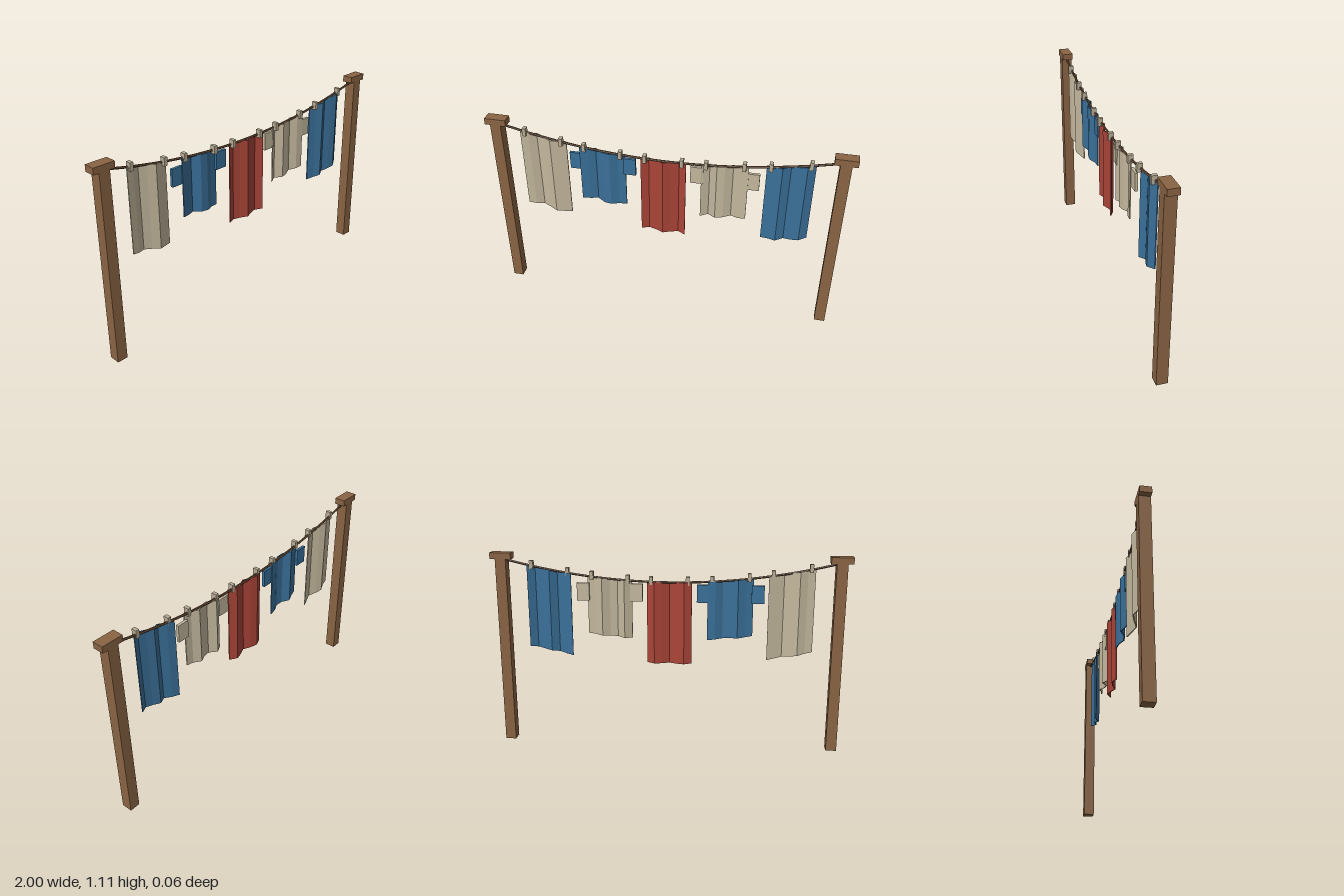
import * as THREE from 'three';

const material = (name, color) => {
  const m = new THREE.MeshStandardMaterial({ color, flatShading: true });
  m.name = name;
  return m;
};

// Height of the sagging rope at x
const ropeY = (x) => 0.955 + 0.136 * x * x;

export function createModel() {
  const model = new THREE.Group();
  model.name = 'clothesline';
  const wood = material('wood', 0x8a6444);
  const cord = material('cord', 0x6b4e35);
  const peg = material('peg', 0xb8ac94);
  const linen = material('linen', 0xc4b89e);
  const blue = material('blue cloth', 0x3a7099);
  const red = material('red cloth', 0xaa4438);

  const add = (name, geometry, mat, x = 0, y = 0, z = 0) => {
    const mesh = new THREE.Mesh(geometry, mat);
    mesh.name = name;
    mesh.position.set(x, y, z);
    model.add(mesh);
    return mesh;
  };
  const box = (name, w, h, d, mat, x, y, z = 0) =>
    add(name, new THREE.BoxGeometry(w, h, d), mat, x, y, z);

  // Posts with caps
  for (const [side, s] of [['left', 1], ['right', -1]]) {
    box(side + 'Post', 0.06, 1.075, 0.062, wood, s * 0.94, 0.5375);
    box(side + 'PostCap', 0.12, 0.036, 0.062, wood, s * 0.94, 1.092);
  }

  // Sagging rope
  const points = [];
  for (let i = 0; i <= 16; i++) {
    const x = -0.93 + (1.86 * i) / 16;
    points.push(new THREE.Vector3(x, ropeY(x), 0));
  }
  add('rope', new THREE.TubeGeometry(new THREE.CatmullRomCurve3(points), 32, 0.0065, 6), cord);

  // Pleated cloth hanging from the rope, folds = z at each crease
  const cloth = (name, cx, length, mat, folds) => {
    const width = 0.252, n = folds.length - 1;
    const g = new THREE.BoxGeometry(width, length, 0.006, n, 1, 1);
    const p = g.attributes.position;
    for (let i = 0; i < p.count; i++) {
      const x = p.getX(i);
      const crease = Math.round((x / width + 0.5) * n);
      p.setY(i, p.getY(i) - length / 2 + ropeY(cx + x));
      p.setZ(i, p.getZ(i) + folds[crease]);
    }
    g.computeVertexNormals();
    add(name, g, mat, cx);
  };

  const laundry = [
    ['linenTowel', -0.68, 0.47, linen, [0.012, 0.004, -0.016, -0.002, 0.018, 0.002, -0.014], false],
    ['blueShirt', -0.346, 0.328, blue, [0.014, 0.002, -0.016, 0.012, 0.015, -0.006, -0.012], false],
    ['redTowel', -0.006, 0.468, red, [0.004, -0.014, -0.002, 0.018, 0, -0.012, 0.012], false],
    ['linenShirt', 0.329, 0.328, linen, [0.008, -0.016, 0.014, 0.006, -0.016, 0.006, 0.01], false],
    ['blueTowel', 0.671, 0.47, blue, [-0.014, -0.002, 0.018, -0.004, 0.01, 0.018, -0.006], false],
  ];
  for (const [name, cx, length, mat, folds] of laundry) {
    cloth(name, cx, length, mat, folds);
    for (const s of [-1, 1]) {
      // Short sleeves on the shirts
      if (name.endsWith('Shirt')) box(name + 'Sleeve', 0.07, 0.1, 0.016, mat, cx + s * 0.151, 0.895);
      // Pegs
      const x = cx + s * 0.102;
      box('peg', 0.02, 0.046, 0.03, peg, x, ropeY(x) + 0.006, 0.007);
    }
  }
  return model;
}
